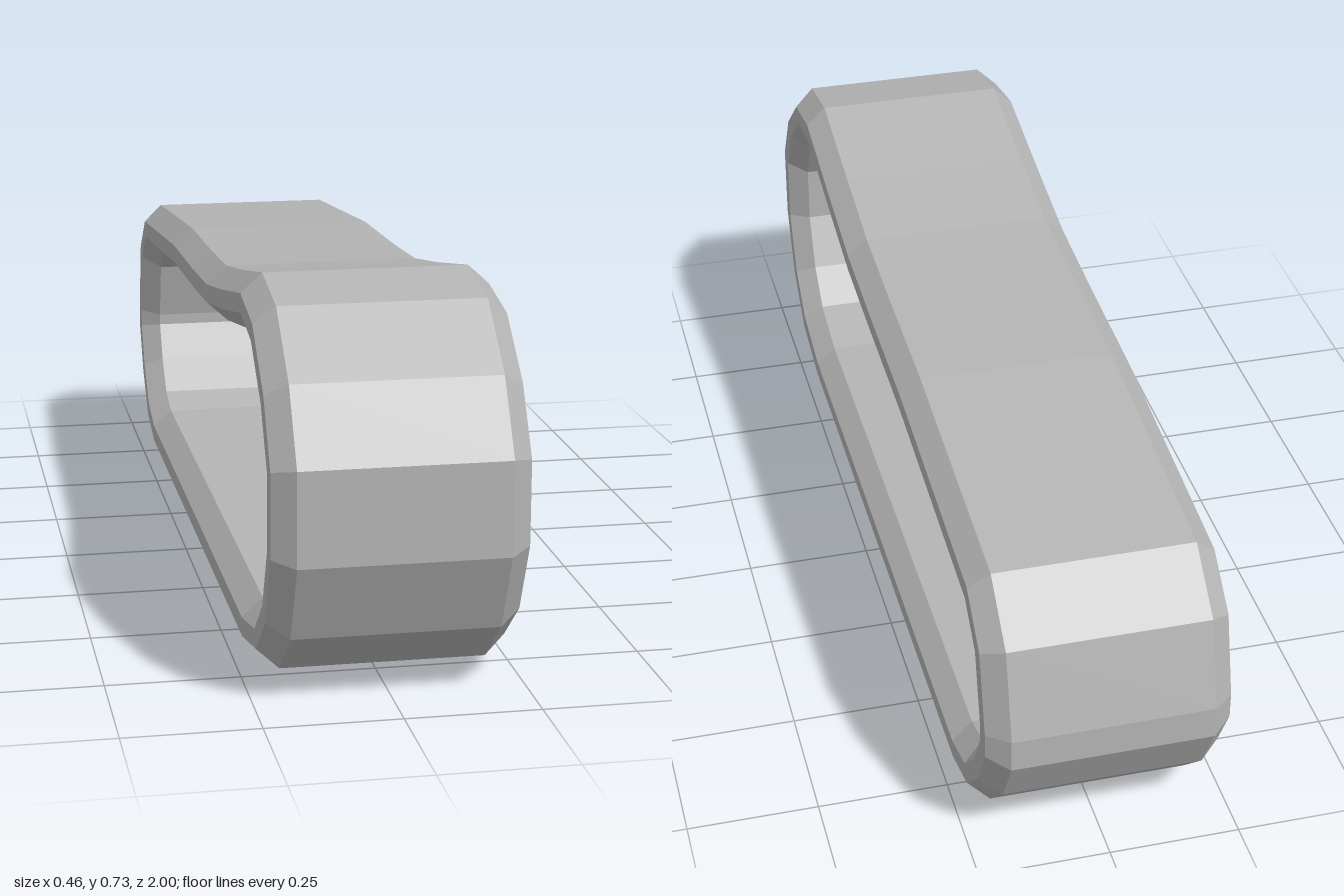
import * as THREE from 'three';

// Outer outline of the belt as [z, y], from the front down and round the back
const outline = [
  [1, 0.46], [1, 0.285], [0.93, 0.133], [0.815, 0.037], [0.64, 0],
  [-0.72, 0], [-0.845, 0.037], [-0.94, 0.133], [-1, 0.245], [-1, 0.31],
  [-0.955, 0.48], [-0.845, 0.572], [-0.295, 0.625], [0, 0.636], [0.2, 0.648],
  [0.4, 0.682], [0.64, 0.728], [0.79, 0.7], [0.92, 0.592],
];

// Chamfered band section as [x, depth inward from the outline]
const section = [
  [-0.19, 0], [0.19, 0], [0.23, 0.036], [0.23, 0.072],
  [0.19, 0.108], [-0.19, 0.108], [-0.23, 0.072], [-0.23, 0.036],
];

// Inward mitre direction at each outline corner
function mitres(points) {
  const n = points.length;
  const normal = (a, b) => new THREE.Vector2(b[1] - a[1], a[0] - b[0]).normalize();
  return points.map((p, i) => {
    const n1 = normal(points[(i + n - 1) % n], p);
    const n2 = normal(p, points[(i + 1) % n]);
    return n1.clone().add(n2).divideScalar(1 + n1.dot(n2));
  });
}

// Closed band: the section swept round the outline
function bandGeometry() {
  const inward = mitres(outline);
  const rings = outline.map(([z, y], i) =>
    section.map(([x, d]) => [x, y + inward[i].y * d, z + inward[i].x * d]));
  const positions = [];
  rings.forEach((ring, i) => {
    const next = rings[(i + 1) % rings.length];
    ring.forEach((a, j) => {
      const k = (j + 1) % section.length;
      const b = next[j], c = next[k], d = ring[k];
      positions.push(...a, ...b, ...c, ...a, ...c, ...d);
    });
  });
  const geometry = new THREE.BufferGeometry();
  geometry.setAttribute('position', new THREE.Float32BufferAttribute(positions, 3));
  geometry.computeVertexNormals();
  return geometry;
}

export function createModel() {
  const group = new THREE.Group();
  group.name = 'trackBelt';
  const grey = new THREE.MeshStandardMaterial({ color: 0xb4b4b4, flatShading: true });
  grey.name = 'grey';
  const belt = new THREE.Mesh(bandGeometry(), grey);
  belt.name = 'belt';
  group.add(belt);
  return group;
}
